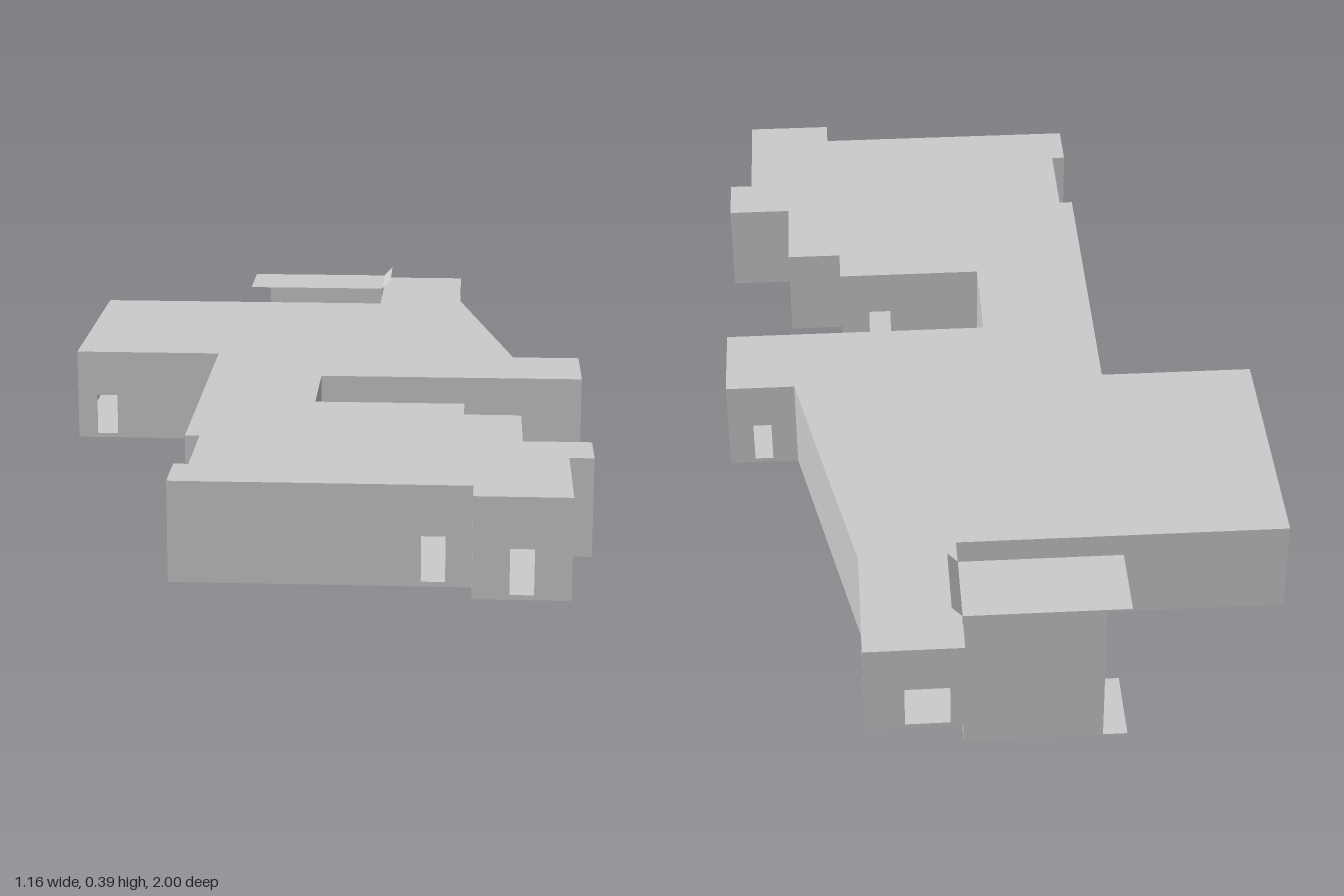
import * as THREE from 'three';

const FLOOR = 0.155, ROOF = 0.35;

// Building footprint as [x, z] corners
const plan = [
  [0.105, -1], [0.305, -1], [0.305, -0.72], [0.43, -0.12], [0.58, -0.12], [0.58, 0.08],
  [0, 0.08], [0, 0.31], [0.32, 0.31], [0.32, 0.4], [0.44, 0.4], [0.44, 0.605],
  [0.58, 0.605], [0.58, 0.725], [0.53, 0.725], [0.53, 1], [0.34, 1], [0.34, 0.93],
  [-0.25, 0.93], [-0.25, 0.81], [-0.22, 0.81], [-0.22, 0.6], [-0.25, 0.6],
  [-0.25, -0.12], [-0.58, -0.12], [-0.58, -0.68], [0.105, -0.68],
];

// Doors: wall index -> [centre along the wall's world axis, width]
const doors = {
  0: [0.18, 0.09], 3: [0.505, 0.04], 7: [0.23, 0.05], 12: [0.665, 0.09], 15: [0.435, 0.047],
  17: [0.265, 0.047], 20: [0.72, 0.047], 22: [0.5, 0.047], 23: [-0.512, 0.047],
};
const DOOR_TOP = 0.247;

// Windows: wall index -> centres
const windows = { 24: [-0.63, -0.555, -0.48, -0.315, -0.24, -0.165] };

export function createModel() {
  const model = new THREE.Group();
  const grey = new THREE.MeshStandardMaterial({ color: 0xcccccc, flatShading: true, side: THREE.DoubleSide });
  const add = (name, geometry, parent = model) => {
    const mesh = new THREE.Mesh(geometry, grey);
    mesh.name = name;
    parent.add(mesh);
    return mesh;
  };
  const box = (name, x0, x1, y0, y1, z0, z1, parent) =>
    add(name, new THREE.BoxGeometry(x1 - x0, y1 - y0, z1 - z0), parent)
      .position.set((x0 + x1) / 2, (y0 + y1) / 2, (z0 + z1) / 2);

  // Floor and roof slabs cut to the footprint
  const outline = new THREE.Shape(plan.map(([x, z]) => new THREE.Vector2(x, z)));
  const slab = (name, top, depth) =>
    add(name, new THREE.ExtrudeGeometry(outline, { depth, bevelEnabled: false }).rotateX(Math.PI / 2)).position.y = top;
  slab('floorSlab', FLOOR, 0.01);
  slab('roof', ROOF, 0.003);

  // One upright panel per footprint edge, with door notches and window holes
  const walls = new THREE.Group();
  walls.name = 'walls';
  model.add(walls);
  plan.forEach((end, i) => {
    const start = plan[(i + 1) % plan.length];
    const dx = end[0] - start[0], dz = end[1] - start[1];
    const length = Math.hypot(dx, dz);
    const axis = Math.abs(dx) > Math.abs(dz) ? 0 : 1;
    const along = (v) => Math.abs(v - start[axis]);

    const shape = new THREE.Shape();
    shape.moveTo(0, FLOOR);
    if (doors[i]) {
      const [centre, width] = doors[i];
      const a = along(centre) - width / 2, b = a + width;
      shape.lineTo(a, FLOOR);
      shape.lineTo(a, DOOR_TOP);
      shape.lineTo(b, DOOR_TOP);
      shape.lineTo(b, FLOOR);
    }
    shape.lineTo(length, FLOOR);
    shape.lineTo(length, ROOF);
    shape.lineTo(0, ROOF);
    shape.closePath();
    for (const centre of windows[i] || []) {
      const a = along(centre) - 0.014, b = a + 0.028;
      shape.holes.push(new THREE.Path([[a, 0.205], [a, 0.305], [b, 0.305], [b, 0.205]]
        .map((p) => new THREE.Vector2(...p))));
    }
    const wall = add('wall', new THREE.ShapeGeometry(shape), walls);
    wall.position.set(start[0], 0, start[1]);
    wall.rotation.y = Math.atan2(-dz, dx);
  });

  // Separate shaft beside the rear passage
  const shaft = new THREE.Group();
  shaft.name = 'shaft';
  model.add(shaft);
  const X0 = -0.178, X1 = 0.106, Z0 = -0.93, Z1 = -0.765;
  box('shaftBody', X0, X1, 0.035, 0.37, Z0, Z1, shaft);
  box('shaftBasePlate', -0.15, 0.08, 0.03, 0.036, -0.9, -0.79, shaft);

  // Thin lips at the shaft ends, each running from (xa, ya) to (xb, yb)
  const lip = (xa, ya, xb, yb) => {
    const mesh = add('shaftLip', new THREE.PlaneGeometry(Math.hypot(xb - xa, yb - ya), Z1 - Z0).rotateX(-Math.PI / 2), shaft);
    mesh.position.set((xa + xb) / 2, (ya + yb) / 2, (Z0 + Z1) / 2);
    mesh.rotation.z = Math.atan2(yb - ya, xb - xa);
  };
  lip(-0.228, 0.37, X0, 0.37);
  lip(X1, 0.37, 0.127, 0.393);
  lip(-0.228, 0.036, X0, 0.036);

  // Small steps hanging under the shaft
  const steps = new THREE.Group();
  steps.name = 'steps';
  model.add(steps);
  for (let i = 0; i < 6; i++) {
    const x = -0.06 + i * 0.011, y = 0.03 - i * 0.005;
    box('step', x, x + 0.011, y - 0.005, y, -0.825, -0.77, steps);
  }
  box('stepPost', -0.028, -0.024, 0.012, 0.032, -0.8, -0.796, steps);

  return model;
}
